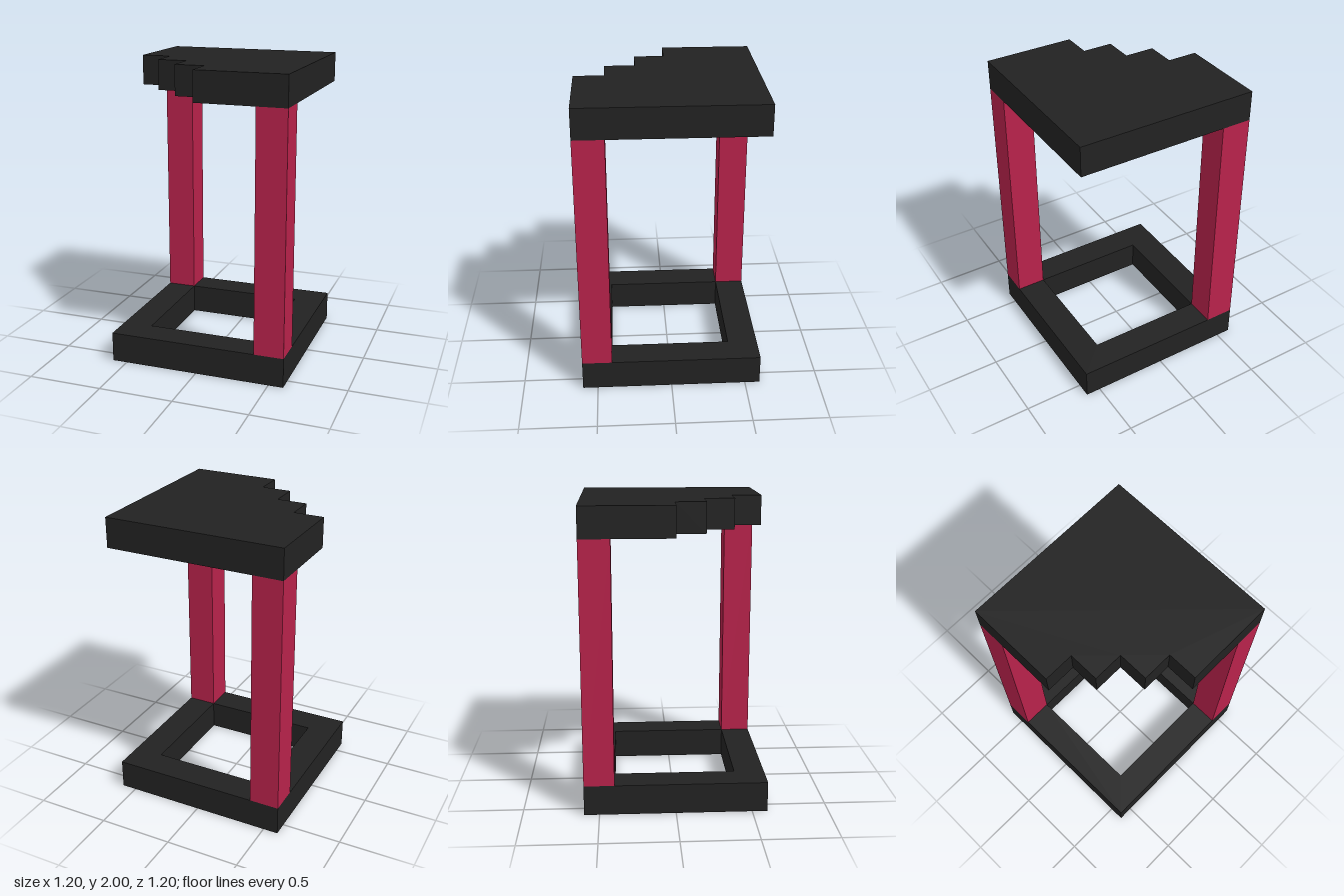
import * as THREE from 'three';

const HALF = 0.6;   // half width of the slabs
const BAR = 0.2;    // slab thickness, pillar width and step size
const HEIGHT = 2;

const charcoal = new THREE.MeshStandardMaterial({ color: 0x222222 });
charcoal.name = 'charcoal';
const crimson = new THREE.MeshStandardMaterial({ color: 0xb8224b });
crimson.name = 'crimson';

// Flat slab from a plan outline of [x, z] points, its underside at height y
function slab(name, outline, y, hole) {
  const toPoints = (list) => list.map(([x, z]) => new THREE.Vector2(x, -z));
  const shape = new THREE.Shape(toPoints(outline));
  if (hole) shape.holes.push(new THREE.Path(toPoints(hole)));
  const geometry = new THREE.ExtrudeGeometry(shape, { depth: BAR, bevelEnabled: false });
  geometry.rotateX(-Math.PI / 2);
  const mesh = new THREE.Mesh(geometry, charcoal);
  mesh.name = name;
  mesh.position.y = y;
  return mesh;
}

const square = (h) => [[-h, h], [h, h], [h, -h], [-h, -h]];

export function createModel() {
  const group = new THREE.Group();
  group.name = 'steppedTable';

  // Square base frame with an open middle
  group.add(slab('baseFrame', square(HALF), 0, square(HALF - BAR)));

  // Top slab with a staircase cut out of its front right corner
  const outline = [[HALF, HALF], [HALF, -HALF], [-HALF, -HALF], [-HALF, 0]];
  for (let i = 1; i <= 3; i++) {
    const x = -HALF + i * BAR;
    outline.push([x, (i - 1) * BAR], [x, i * BAR]);
  }
  group.add(slab('steppedTop', outline, HEIGHT - BAR));

  // Two pillars on opposite corners
  const pillarGeometry = new THREE.BoxGeometry(BAR, HEIGHT - 2 * BAR, BAR);
  for (const [name, side] of [['frontLeftPillar', 1], ['backRightPillar', -1]]) {
    const pillar = new THREE.Mesh(pillarGeometry, crimson);
    pillar.name = name;
    const offset = side * (HALF - BAR / 2);
    pillar.position.set(offset, HEIGHT / 2, offset);
    group.add(pillar);
  }

  return group;
}
